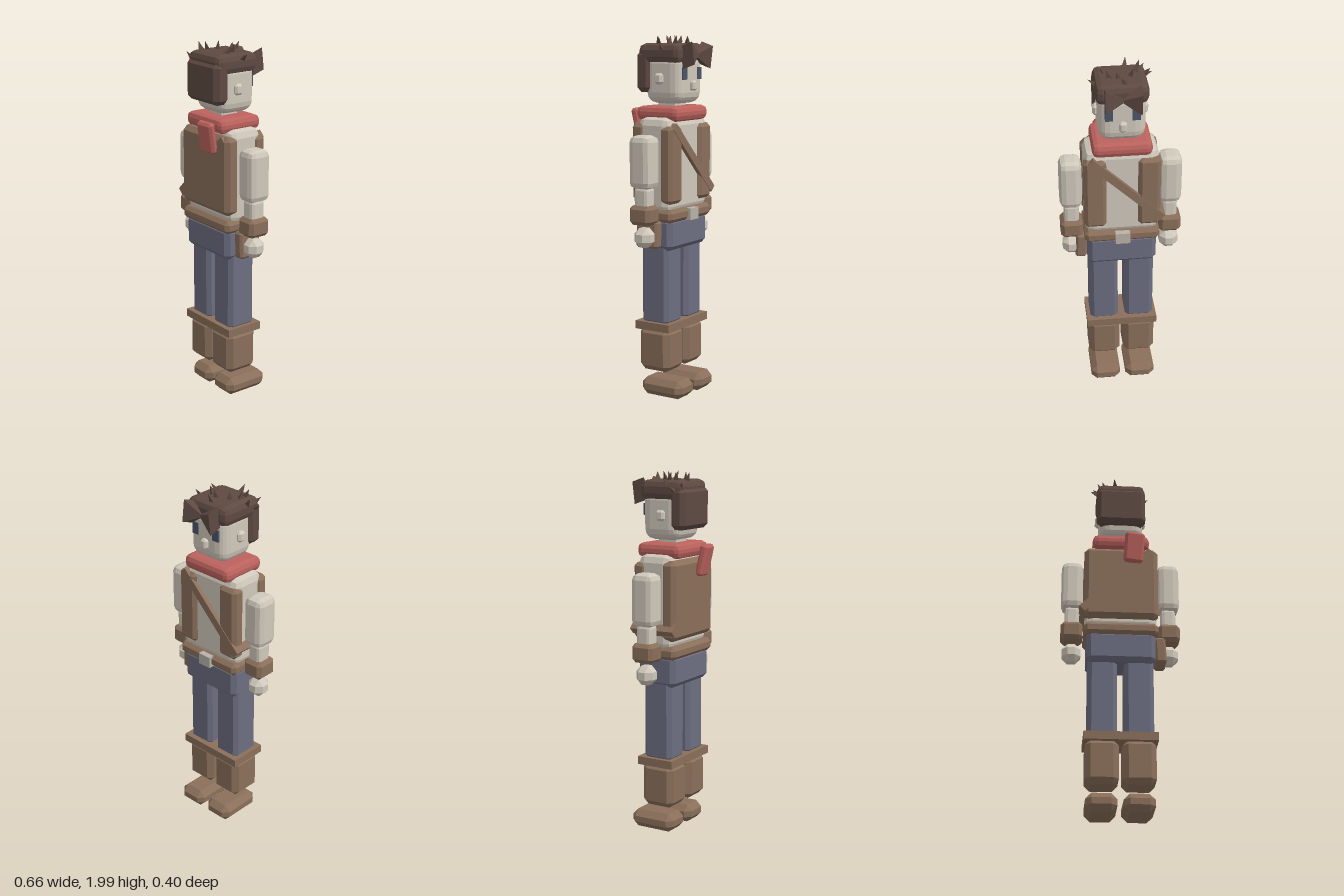
import * as THREE from 'three';
import { ConvexGeometry } from 'three/addons/geometries/ConvexGeometry.js';
import { RoundedBoxGeometry } from 'three/addons/geometries/RoundedBoxGeometry.js';

const COLORS = {
  skin: 0xd0c8bb, leather: 0x8a6f5a, trousers: 0x6c6d80,
  scarf: 0xbb625d, hair: 0x5e4a42, buckle: 0xb9b2a8, eye: 0x4b5568,
};

export function createModel() {
  const root = new THREE.Group();
  root.name = 'adventurer';

  const mats = {};
  for (const [name, color] of Object.entries(COLORS)) {
    mats[name] = new THREE.MeshStandardMaterial({ color });
    mats[name].name = name;
  }

  function add(name, geometry, mat) {
    const mesh = new THREE.Mesh(geometry, mats[mat]);
    mesh.name = name;
    root.add(mesh);
    return mesh;
  }

  // Box with single-cut edges and corners; every extent is [min, max].
  function chamferBox(w, h, d, b) {
    const pts = [];
    for (const sx of [-1, 1]) for (const sy of [-1, 1]) for (const sz of [-1, 1]) {
      for (let axis = 0; axis < 3; axis++) {
        const cut = [b, b, b];
        cut[axis] = 0;
        pts.push(new THREE.Vector3(sx * (w / 2 - cut[0]), sy * (h / 2 - cut[1]), sz * (d / 2 - cut[2])));
      }
    }
    return new ConvexGeometry(pts);
  }

  function roundBox(w, h, d, r, segments) {
    const geometry = new RoundedBoxGeometry(w, h, d, segments, r);
    geometry.computeVertexNormals();
    return geometry;
  }

  // Block spanning the given ranges: style is 'box', 'chamfer' or 'round'.
  function block(name, mat, [x0, x1], [y0, y1], [z0, z1], bevel = 0, style = 'chamfer', segments = 1) {
    const size = [x1 - x0, y1 - y0, z1 - z0];
    const geometry = !bevel ? new THREE.BoxGeometry(...size)
      : style === 'round' ? roundBox(...size, bevel, segments) : chamferBox(...size, bevel);
    const mesh = add(name, geometry, mat);
    mesh.position.set((x0 + x1) / 2, (y0 + y1) / 2, (z0 + z1) / 2);
    return mesh;
  }

  // Same block on both sides of the body.
  function pair(name, mat, [x0, x1], ...rest) {
    block(name + 'Left', mat, [x0, x1], ...rest);
    block(name + 'Right', mat, [-x1, -x0], ...rest);
  }

  // Legs and boots
  pair('foot', 'leather', [0.016, 0.185], [0, 0.1], [-0.168, 0.1], 0.033);
  pair('bootShaft', 'leather', [0.01, 0.19], [0.145, 0.39], [-0.09, 0.106], 0.03);
  block('bootCuff', 'leather', [-0.2, 0.2], [0.38, 0.425], [-0.105, 0.115]);
  pair('trouserLeg', 'trousers', [0.02, 0.18], [0.41, 0.87], [-0.08, 0.092], 0.022);
  block('hips', 'trousers', [-0.19, 0.19], [0.832, 1.01], [-0.11, 0.122], 0.025);

  // Belt, buckle and side pouch
  block('belt', 'leather', [-0.206, 0.206], [0.988, 1.06], [-0.126, 0.136], 0.02);
  block('beltBuckle', 'buckle', [-0.04, 0.04], [0.99, 1.055], [-0.145, -0.11]);
  const pouch = block('pouch', 'leather', [0.19, 0.252], [0.85, 1.0], [-0.06, 0.075], 0.012);
  pouch.rotation.z = 0.05;

  // Shirt and open vest
  block('shirt', 'skin', [-0.2, 0.2], [1.03, 1.555], [-0.106, 0.106], 0.045, 'round');
  block('vestBack', 'leather', [-0.207, 0.207], [1.09, 1.525], [0.045, 0.138], 0.025);
  pair('vestFront', 'leather', [0.085, 0.207], [1.09, 1.51], [-0.126, -0.045], 0.02);

  // Diagonal strap round the chest
  const a = new THREE.Vector2(-0.217, 1.135), b = new THREE.Vector2(0.17, 1.51);
  const strap = add('chestStrap', new THREE.BoxGeometry(a.distanceTo(b), 0.045, 0.267), 'leather');
  strap.position.set((a.x + b.x) / 2, (a.y + b.y) / 2, 0.004);
  strap.rotation.z = Math.atan2(b.y - a.y, b.x - a.x);

  // Arms
  pair('sleeve', 'skin', [0.21, 0.332], [1.178, 1.465], [-0.065, 0.072], 0.035, 'round');
  pair('forearm', 'skin', [0.229, 0.311], [1.06, 1.19], [-0.042, 0.048], 0.02, 'round');
  pair('wristband', 'leather', [0.21, 0.332], [0.985, 1.09], [-0.062, 0.07], 0.02);
  pair('hand', 'skin', [0.219, 0.323], [0.86, 0.966], [-0.05, 0.055], 0.032);

  // Neck and scarf
  block('neck', 'skin', [-0.055, 0.055], [1.54, 1.68], [-0.05, 0.055]);
  block('scarf', 'scarf', [-0.161, 0.159], [1.532, 1.612], [-0.133, 0.138], 0.03, 'round');
  const tail = block('scarfTail', 'scarf', [0.015, 0.125], [1.425, 1.6], [0.14, 0.185], 0.013);
  tail.rotation.set(0.2, 0.12, -0.06);

  // Head and face
  block('head', 'skin', [-0.125, 0.125], [1.625, 1.9], [-0.125, 0.11], 0.06, 'round', 2);
  pair('ear', 'skin', [0.11, 0.146], [1.73, 1.79], [-0.022, 0.028], 0.012);
  block('nose', 'skin', [-0.02, 0.02], [1.695, 1.75], [-0.15, -0.11], 0.01);
  pair('eye', 'eye', [0.05, 0.092], [1.755, 1.82], [-0.128, -0.119]);

  // Hair
  block('hairTop', 'hair', [-0.14, 0.138], [1.84, 1.948], [-0.128, 0.14], 0.035, 'round');
  block('hairBack', 'hair', [-0.14, 0.138], [1.685, 1.91], [0.06, 0.155], 0.025);

  // Forelock: two four-sided cones meeting tip to tip over the brow
  for (const side of [-1, 1]) {
    const cone = new THREE.ConeGeometry(0.07, 0.11, 4, 1).toNonIndexed();
    cone.rotateY(Math.PI / 4 - 0.2);
    cone.rotateZ(side * Math.PI / 2);
    cone.scale(1, 1.25, 0.75);
    cone.computeVertexNormals();
    const lock = add(side > 0 ? 'forelockLeft' : 'forelockRight', cone, 'hair');
    lock.position.set(side * 0.039, 1.885, -0.156);
  }

  // Small spikes: x, y, z of the base and the lean in x and z
  const spikes = [
    [-0.015, 1.94, -0.085, 0.4, -0.3], [-0.055, 1.94, -0.005, -0.2, -0.2],
    [0.015, 1.94, -0.027, 0.1, -0.3], [0.055, 1.94, -0.015, 0.4, 0.1],
    [0.075, 1.94, 0.04, 0.6, -0.4], [0.125, 1.915, -0.02, 1.3, -0.2],
    [-0.088, 1.94, 0.036, -0.2, 0.3], [-0.125, 1.92, 0.045, -0.8, -0.2],
    [-0.088, 1.94, 0.08, -0.4, 0.1], [-0.13, 1.89, 0.095, -1.8, -0.2],
    [-0.03, 1.94, 0.105, -0.2, 0.5], [-0.108, 1.9, 0.12, -0.8, 0.6],
  ];
  const up = new THREE.Vector3(0, 1, 0);
  spikes.forEach(([x, y, z, lx, lz], i) => {
    const cone = new THREE.ConeGeometry(0.026, 0.075, 3, 1).toNonIndexed();
    cone.rotateY(i * 1.3);
    cone.translate(0, 0.018, 0);
    cone.computeVertexNormals();
    const spike = add('hairSpike' + (i + 1), cone, 'hair');
    spike.position.set(x, y, z);
    spike.quaternion.setFromUnitVectors(up, new THREE.Vector3(lx, 1, lz).normalize());
  });

  return root;
}
